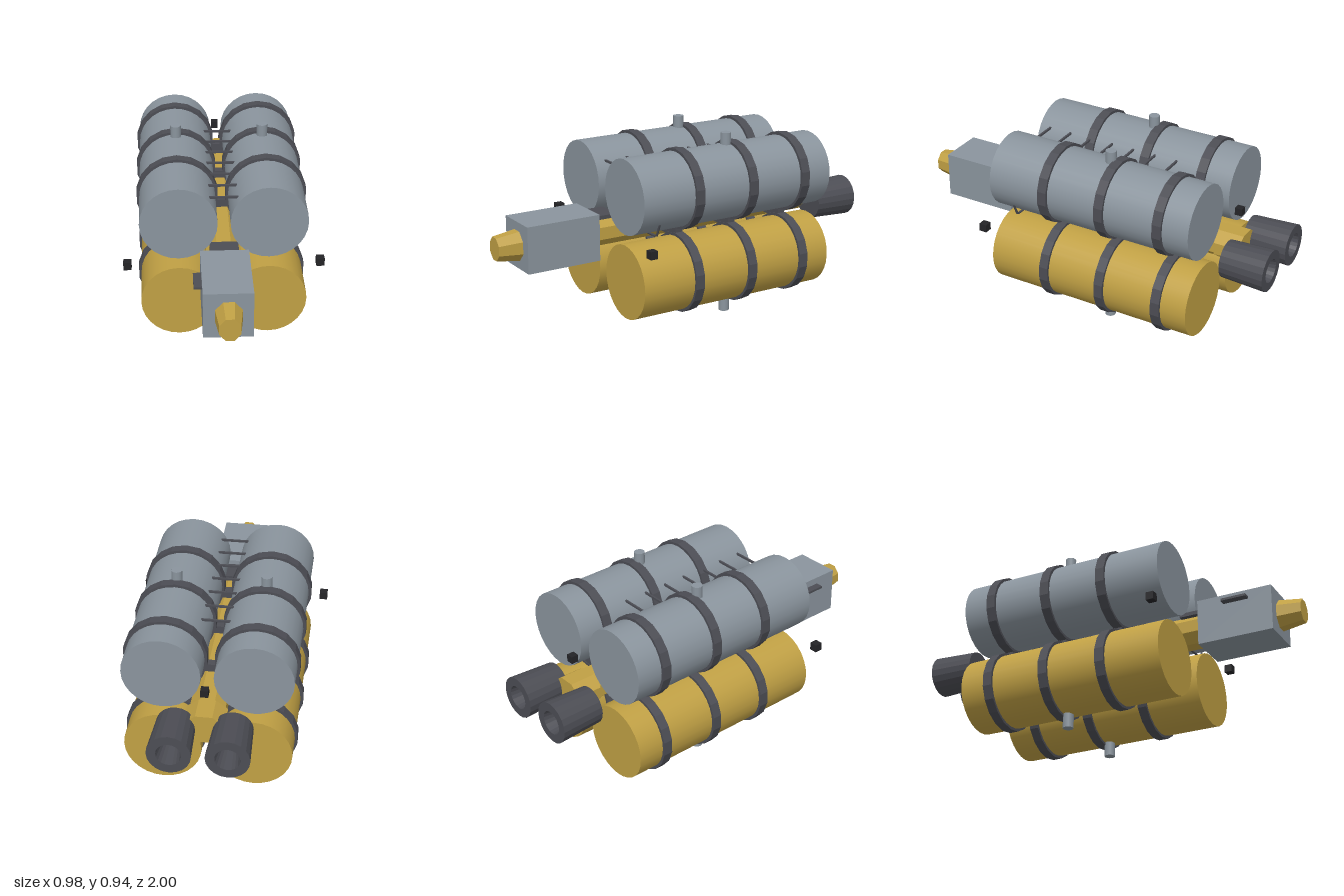
import * as THREE from 'three';

const paint = (name, color) => {
  const m = new THREE.MeshStandardMaterial({ color });
  m.name = name;
  return m;
};

export function createModel() {
  const model = new THREE.Group();
  model.name = 'spacecraft';
  const grey = paint('lightGrey', 0x8a949d);
  const gold = paint('gold', 0xc0a044);
  const dark = paint('darkGrey', 0x4c4d54);
  const black = paint('black', 0x242427);

  const add = (name, geo, mat, x = 0, y = 0, z = 0) => {
    const mesh = new THREE.Mesh(geo, mat);
    mesh.name = name;
    mesh.position.set(x, y, z);
    model.add(mesh);
    return mesh;
  };
  const box = (name, mat, w, h, d, x, y, z) =>
    add(name, new THREE.BoxGeometry(w, h, d), mat, x, y, z);
  // Cylinder along z, front radius first
  const tubeZ = (rFront, rBack, length, sides) =>
    new THREE.CylinderGeometry(rFront, rBack, length, sides).rotateX(Math.PI / 2);
  // Eight-sided beam along z with flat top, from half-width and half-height
  const beam = (hw, hh, length, taper = 1) => {
    const k = 1 / Math.cos(Math.PI / 8);
    return new THREE.CylinderGeometry(k * taper, k, length, 8)
      .rotateY(Math.PI / 8).rotateX(Math.PI / 2).scale(hw, hh, 1).toNonIndexed();
  };
  const flat = (geo) => { geo.computeVertexNormals(); return geo; };

  // Closed strap profile, turned round the tank axis
  const strap = new THREE.LatheGeometry([
    [0.18, -0.024], [0.204, -0.024], [0.204, 0.024], [0.18, 0.024],
  ].map(([r, h]) => new THREE.Vector2(r, h)), 18).toNonIndexed().rotateX(Math.PI / 2);
  flat(strap);

  const strapZ = [0.1, -0.215, -0.53];
  const levels = [
    { label: 'upper', y: 0.692, mat: grey, pegY: 0.895, linkY: 0.645 },
    { label: 'lower', y: 0.26, mat: gold, pegY: 0.045, linkY: 0.245 },
  ];
  for (const { label, y, mat, pegY, linkY } of levels) {
    for (const side of [-1, 1]) {
      const x = side * 0.22;
      // Tank, its straps and mounting peg
      add(label + 'Tank', tubeZ(0.189, 0.189, 1.1, 28), mat, x, y, -0.14);
      for (const z of strapZ) add(label + 'TankStrap', strap, dark, x, y, z);
      add(label + 'Peg', new THREE.CylinderGeometry(0.027, 0.027, 0.09, 12), grey, x, pegY, -0.175);
    }
    // Links joining neighbouring straps
    for (const z of strapZ) box(label + 'StrapLink', dark, 0.06, 0.04, 0.04, 0, linkY, z);
  }

  // Central spine with stern block and cross beams
  add('spine', flat(beam(0.085, 0.075, 1.3)), gold, 0, 0.48, -0.12);
  add('sternBlock', flat(beam(0.098, 0.075, 0.13)), gold, 0, 0.48, -0.745);
  for (const z of strapZ) box('crossBeam', dark, 0.44, 0.075, 0.04, 0, 0.478, z);
  box('spineCollar', dark, 0.14, 0.02, 0.12, 0, 0.558, 0.43);

  // Command module and nose
  box('commandModule', grey, 0.235, 0.235, 0.39, -0.002, 0.473, 0.685);
  box('sidePanel', dark, 0.04, 0.012, 0.13, -0.138, 0.548, 0.695);
  add('nose', flat(beam(0.064, 0.073, 0.12, 0.78)), gold, 0, 0.473, 0.94);

  // Hollow engine nozzles opening to the back
  const nozzle = new THREE.LatheGeometry([
    [0, 0], [0.094, 0], [0.105, 0.23], [0.06, 0.23], [0.045, 0.1], [0, 0.1],
  ].map(([r, h]) => new THREE.Vector2(r, h)), 20).rotateX(-Math.PI / 2).toNonIndexed();
  flat(nozzle);
  for (const x of [-0.136, 0.136]) add('engineNozzle', nozzle, dark, x, 0.473, -0.77);
  box('engineMount', dark, 0.25, 0.05, 0.04, 0, 0.473, -0.775);

  // Ladder rungs between the upper tanks
  for (let i = 0; i < 7; i++) {
    box('rung', dark, 0.16, 0.01, 0.01, 0, 0.803, 0.35 - i * 0.122);
  }

  // Bent feed pipe beneath the left upper tank
  const pipe = new THREE.CurvePath();
  const pts = [[0.2, 0.505], [0.335, 0.508], [0.365, 0.575]]
    .map(([x, y]) => new THREE.Vector3(x, y, 0.3));
  pipe.add(new THREE.LineCurve3(pts[0], pts[1]));
  pipe.add(new THREE.LineCurve3(pts[1], pts[2]));
  add('feedPipe', new THREE.TubeGeometry(pipe, 12, 0.006, 6), dark);

  // Free-standing marker lamps
  for (const x of [-0.47, 0.47]) box('sideLamp', black, 0.04, 0.04, 0.04, x, 0.473, 0.407);
  box('sternLamp', black, 0.037, 0.037, 0.037, 0, 0.668, -0.765);

  return model;
}
